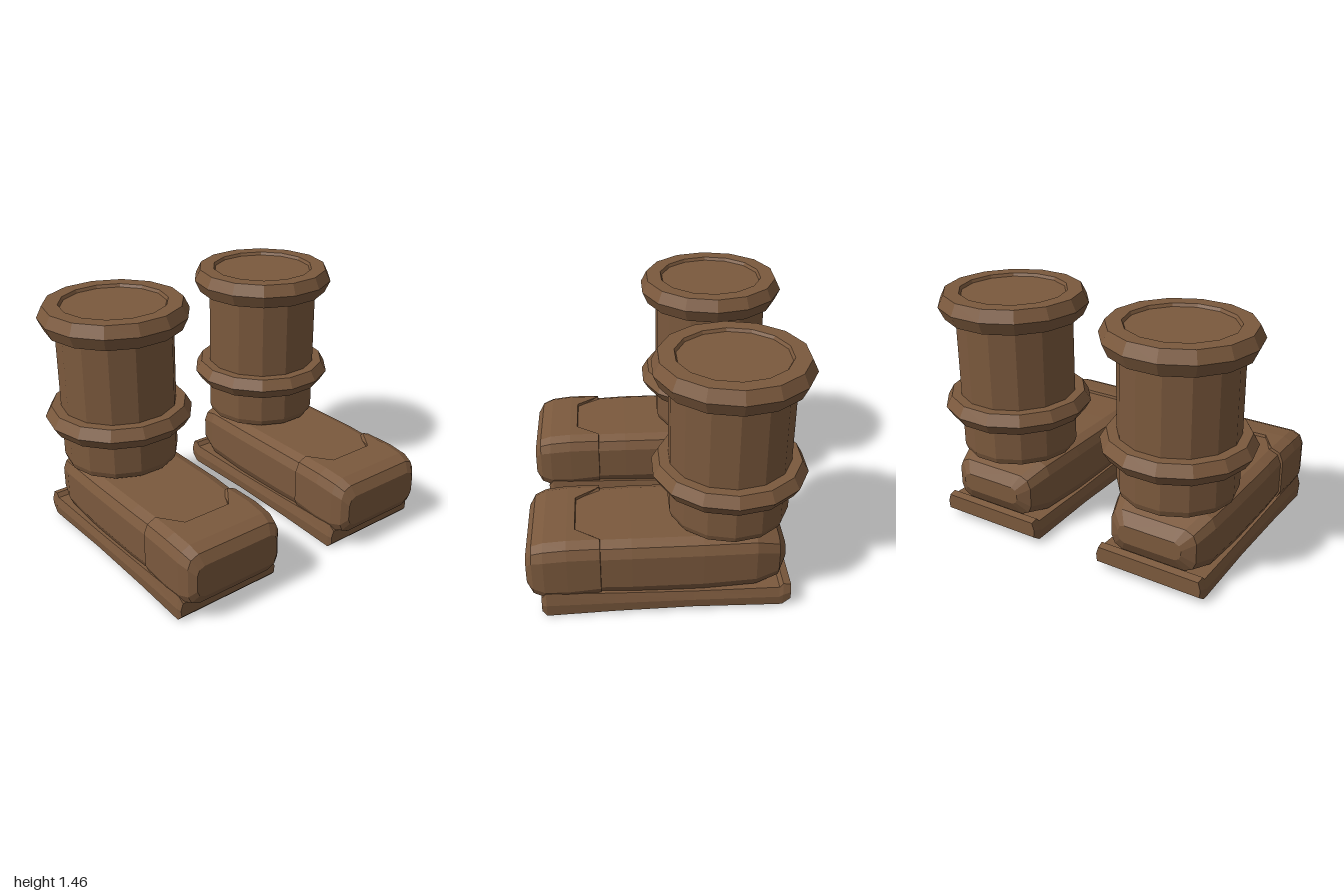
import * as THREE from 'three';

const leather = new THREE.MeshStandardMaterial({ color: 0x7b593d, flatShading: true });
leather.name = 'brown leather';

const SIDES = 14;

// Closed skin over rings of [x, y, z] points, ordered back to front,
// each ring running anticlockwise as seen from the front
function loft(name, rings) {
  const n = rings[0].length;
  const pos = rings.flat(2);
  const index = [];
  for (let i = 0; i < rings.length - 1; i++) {
    for (let j = 0; j < n; j++) {
      const k = (j + 1) % n;
      const a = i * n + j, b = i * n + k, c = b + n, d = a + n;
      index.push(a, b, c, a, c, d);
    }
  }
  const addCap = (ring, start, front) => {
    const centre = pos.length / 3;
    for (let axis = 0; axis < 3; axis++) pos.push(ring.reduce((s, p) => s + p[axis], 0) / n);
    for (let j = 0; j < n; j++) {
      const k = (j + 1) % n;
      index.push(centre, start + (front ? j : k), start + (front ? k : j));
    }
  };
  addCap(rings[0], 0, false);
  addCap(rings[rings.length - 1], (rings.length - 1) * n, true);
  const geometry = new THREE.BufferGeometry();
  geometry.setAttribute('position', new THREE.Float32BufferAttribute(pos, 3));
  geometry.setIndex(index);
  geometry.computeVertexNormals();
  const mesh = new THREE.Mesh(geometry, leather);
  mesh.name = name;
  return mesh;
}

// Rounded rectangle: half width w, bottom y0, top y1, corner size c
function section(z, w, y0, y1, c) {
  const half = [
    [w - c, y0], [w - c * 0.3, y0 + c * 0.35], [w, y0 + c],
    [w, y1 - c], [w - c * 0.3, y1 - c * 0.3], [w - c, y1], [0.15, y1],
  ];
  const right = half.map(([x, y]) => [x, y, z]);
  const left = half.map(([x, y]) => [-x, y, z]).reverse();
  return [...right, ...left];
}

function turned(name, profile) {
  const points = profile.map(([r, y]) => new THREE.Vector2(r, y));
  const mesh = new THREE.Mesh(new THREE.LatheGeometry(points, SIDES, Math.PI / SIDES), leather);
  mesh.name = name;
  mesh.position.z = -0.362;
  return mesh;
}

function createBoot(name) {
  const boot = new THREE.Group();
  boot.name = name;

  // Leg with a chamfered foot end, a middle band and a rimmed, recessed top
  boot.add(turned('shaft', [[0, 0.46], [0.305, 0.46], [0.335, 0.475], [0.347, 0.51], [0.347, 1.33]]));
  boot.add(turned('middleBand', [[0.33, 0.705], [0.405, 0.705], [0.4425, 0.765], [0.405, 0.83], [0.33, 0.83]]));
  boot.add(turned('topRim', [
    [0.33, 1.31], [0.408, 1.31], [0.4425, 1.385], [0.408, 1.455],
    [0.318, 1.455], [0.308, 1.437], [0, 1.437],
  ]));

  // Foot with a rounded heel
  boot.add(loft('foot', [
    section(-0.68, 0.2, 0.22, 0.33, 0.04),
    section(-0.635, 0.27, 0.14, 0.4, 0.07),
    section(-0.5, 0.315, 0.11, 0.452, 0.08),
    section(-0.2, 0.325, 0.1, 0.457, 0.08),
    section(0.2, 0.325, 0.1, 0.457, 0.08),
    section(0.6, 0.31, 0.1, 0.445, 0.08),
  ]));

  // Toe cap whose back edge is cut away over the instep
  const cutBack = (ring) => ring.map(([x, y, z]) =>
    Math.abs(x) < 0.16 && y > 0.4 ? [x, y, z + 0.14] : [x, y, z]);
  boot.add(loft('toeCap', [
    cutBack(section(0.37, 0.3, 0.12, 0.44, 0.08)),
    cutBack(section(0.375, 0.33, 0.1, 0.465, 0.08)),
    section(0.56, 0.333, 0.085, 0.465, 0.08),
    section(0.69, 0.328, 0.085, 0.452, 0.08),
    section(0.755, 0.31, 0.11, 0.425, 0.07),
    section(0.79, 0.275, 0.17, 0.365, 0.05),
  ]));

  // Slightly bowed sole with a raised lip at the back
  const slab = (z, w, y0, y1) => [
    [w - 0.005, y0, z], [w, (y0 + y1) / 2, z], [w - 0.015, y1, z],
    [-w + 0.015, y1, z], [-w, (y0 + y1) / 2, z], [-w + 0.005, y0, z],
  ];
  boot.add(loft('sole', [
    slab(-0.7, 0.335, 0.05, 0.145),
    slab(-0.655, 0.34, 0.016, 0.155),
    slab(-0.635, 0.34, 0.014, 0.13),
    slab(-0.15, 0.335, 0.02, 0.125),
    slab(0.3, 0.335, 0.012, 0.135),
    slab(0.685, 0.338, 0, 0.15),
    slab(0.712, 0.33, 0.03, 0.115),
  ]));
  return boot;
}

export function createModel() {
  const model = new THREE.Group();
  model.name = 'pairOfBoots';
  for (const side of [-1, 1]) {
    const boot = createBoot(side < 0 ? 'rightBoot' : 'leftBoot');
    boot.position.x = side * 0.5575;
    model.add(boot);
  }
  return model;
}
